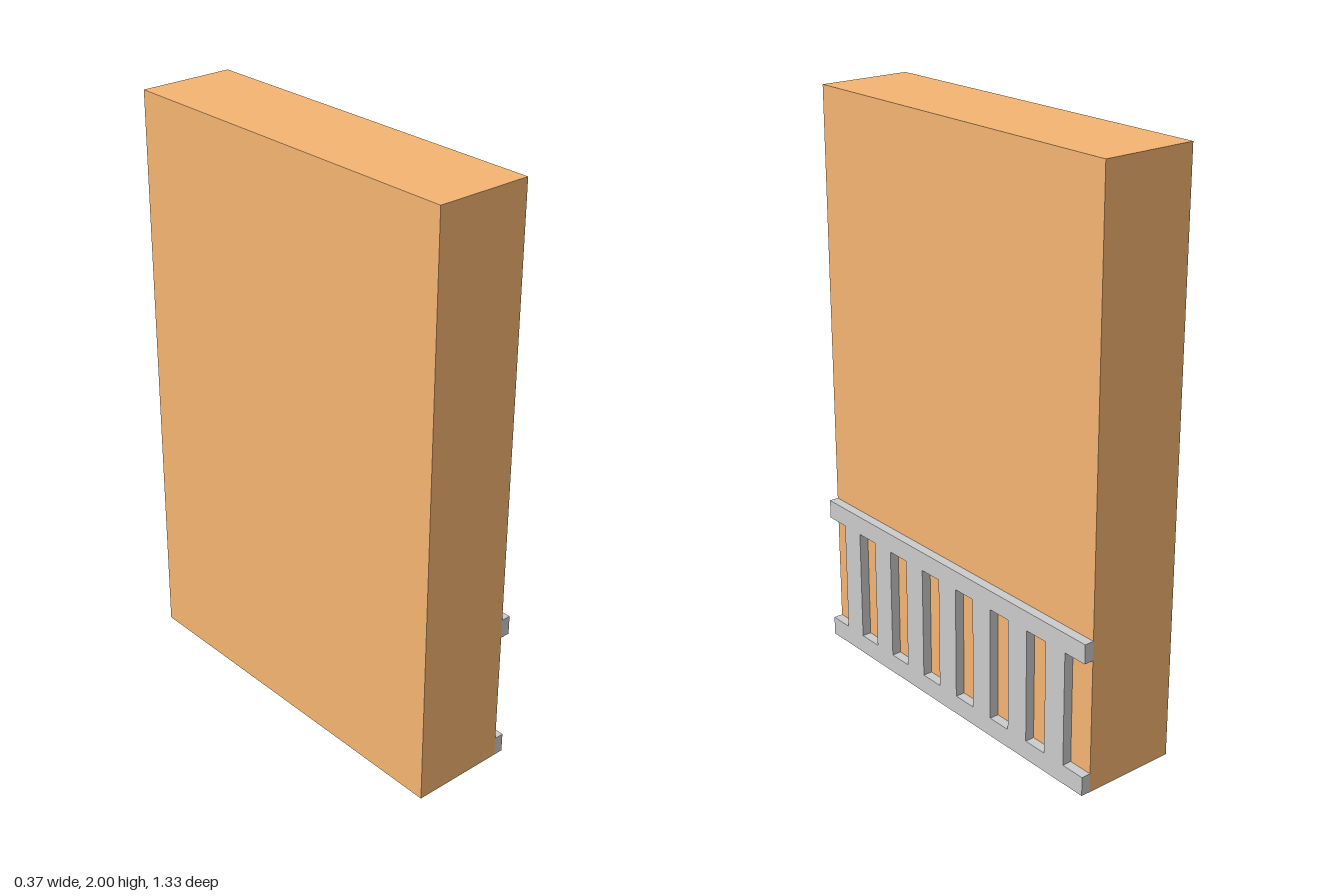
import * as THREE from 'three';

const LENGTH = 4 / 3;       // along z
const HALF = LENGTH / 2;
const UNIT = LENGTH / 15;   // width of each slat and each gap
const BODY_X = 1 / 3;
const TRIM = 1 / 30;        // thickness of the railing
const LOW = 1 / 15;         // top of the lower rail
const HIGH = 7 / 15;        // underside of the upper rail
const TOP = 8 / 15;

const toPoints = (list) => list.map(([x, y]) => new THREE.Vector2(x, y));

// Two rails joined by seven slats, open at both ends
function railingGeometry() {
  const a = HALF, b = HALF - UNIT;
  const shape = new THREE.Shape(toPoints([
    [-a, 0], [a, 0], [a, LOW], [b, LOW], [b, HIGH], [a, HIGH],
    [a, TOP], [-a, TOP], [-a, HIGH], [-b, HIGH], [-b, LOW], [-a, LOW],
  ]));
  for (let i = 0; i < 6; i++) {
    const l = -HALF + UNIT * (2 + 2 * i), r = l + UNIT;
    shape.holes.push(new THREE.Path(toPoints([[l, LOW], [l, HIGH], [r, HIGH], [r, LOW]])));
  }
  return new THREE.ExtrudeGeometry(shape, { depth: TRIM, bevelEnabled: false });
}

export function createModel() {
  const group = new THREE.Group();
  group.name = 'wallWithRailing';
  const left = -(BODY_X + TRIM) / 2;

  // Solid wall slab
  const wall = new THREE.Mesh(
    new THREE.BoxGeometry(BODY_X, 2, LENGTH),
    new THREE.MeshStandardMaterial({ color: 0xf5b572 })
  );
  wall.name = 'wall';
  wall.position.set(left + BODY_X / 2, 1, 0);
  group.add(wall);

  // Slatted railing on the +x face
  const railing = new THREE.Mesh(
    railingGeometry(),
    new THREE.MeshStandardMaterial({ color: 0xcccccc })
  );
  railing.name = 'railing';
  railing.rotation.y = Math.PI / 2;
  railing.position.x = left + BODY_X;
  group.add(railing);

  return group;
}
